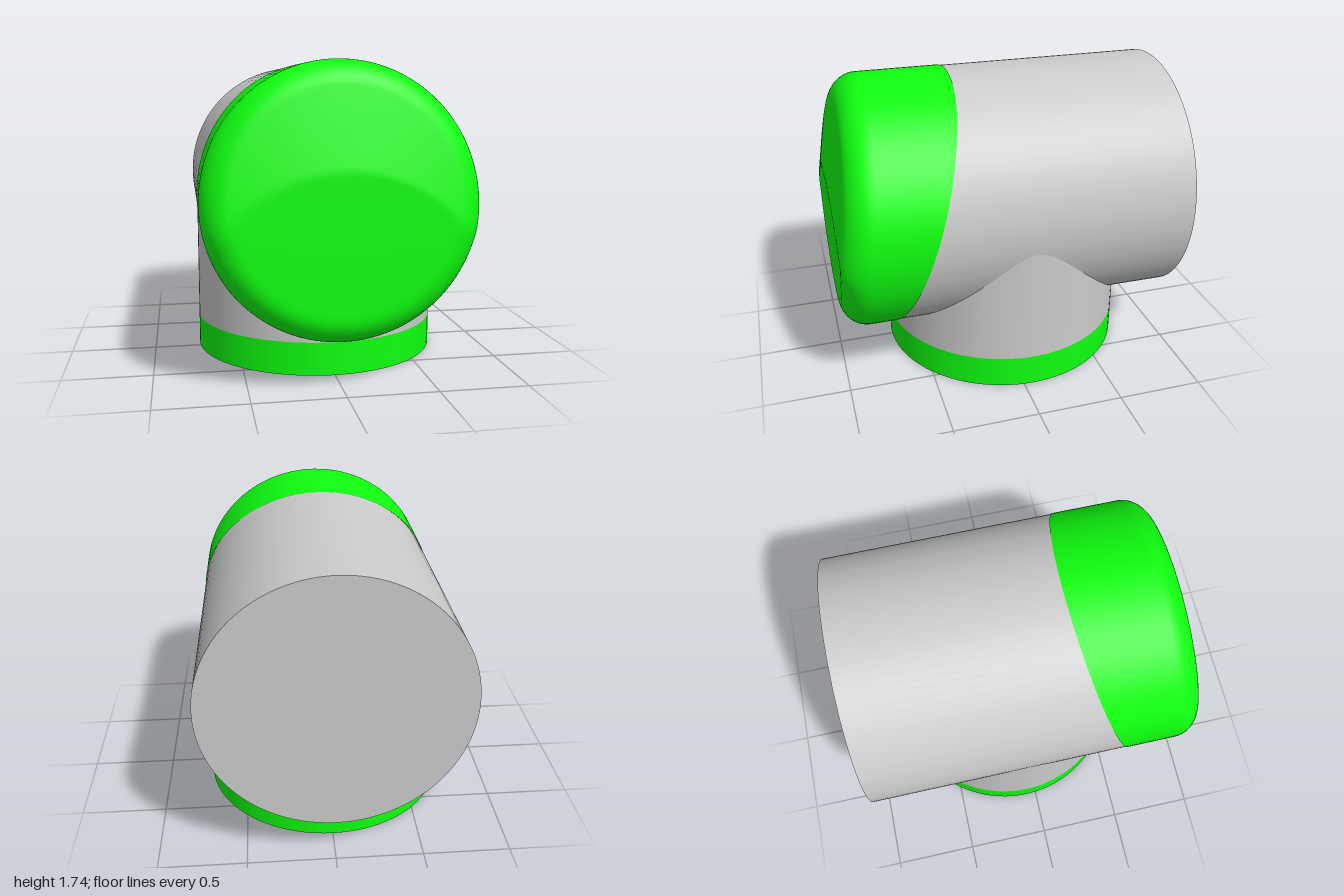
import * as THREE from 'three';
import { mergeVertices } from 'three/addons/utils/BufferGeometryUtils.js';

const AXIS_Y = 0.997, BODY_R = 0.738, CAP_R = 0.742;
const STEM_R = 0.728, STEM_Z = -0.0625, BASE_H = 0.19;
const SEG = 96;

// slanted joint between cap and body
const jointZ = (y) => 0.265 + (1.737 - y) * 0.314;

// flat nose that falls away as a shallow cone towards the top
const noseZ = (x, y) => 1 - 0.2 * Math.max(0, Math.hypot(x, y - 0.37) - 0.8);

// move every vertex by a rule, then smooth across the seam
function shape(geo, rule) {
  const p = geo.attributes.position, v = new THREE.Vector3();
  for (let i = 0; i < p.count; i++) {
    v.fromBufferAttribute(p, i);
    rule(v);
    p.setXYZ(i, v.x, v.y, v.z);
  }
  geo.deleteAttribute('uv');
  geo.deleteAttribute('normal');
  const merged = mergeVertices(geo, 1e-5);
  merged.computeVertexNormals();
  return merged;
}

// horizontal tube, front end cut along the slanted joint
function bodyGeometry() {
  const geo = new THREE.CylinderGeometry(BODY_R, BODY_R, 1, SEG, 1, true).rotateX(Math.PI / 2);
  return shape(geo, (v) => {
    v.y += AXIS_Y;
    v.z = v.z > 0 ? jointZ(v.y) + 0.02 : -1;
  });
}

// rounded cap: rings run from the nose centre over the fillet to the joint
function capGeometry() {
  const FACE = 24, FILLET = 12, ROWS = FACE + FILLET + 1;
  const geo = new THREE.CylinderGeometry(1, 1, 1, SEG, ROWS, true).rotateX(Math.PI / 2);
  return shape(geo, (v) => {
    const row = Math.round((0.5 - v.z) * ROWS);
    const len = Math.hypot(v.x, v.y), dx = v.x / len, dy = v.y / len;
    const at = (r) => noseZ(dx * r, AXIS_Y + dy * r);
    const slope = (at(CAP_R - 0.1) - at(CAP_R)) / 0.1;
    const round = 0.16 * (1 - 0.9 * slope);
    const a = Math.max(0, Math.min(1, (row - FACE) / FILLET)) * Math.PI / 2;
    const r = row <= FACE
      ? (CAP_R - round) * row / FACE
      : CAP_R - round * (1 - Math.sin(a));
    v.set(dx * r, AXIS_Y + dy * r, 0);
    v.z = row === ROWS ? jointZ(v.y) : at(r) - round * (1 - Math.cos(a));
  });
}

// upright tube, top end cut to fit the underside of the body
function stemGeometry() {
  const geo = new THREE.CylinderGeometry(STEM_R, STEM_R, 1, SEG, 1, true);
  return shape(geo, (v) => {
    v.y = v.y > 0 ? AXIS_Y - Math.sqrt(BODY_R ** 2 - v.x ** 2) : BASE_H;
    v.z += STEM_Z;
  });
}

export function createModel() {
  const group = new THREE.Group();
  const grey = new THREE.MeshStandardMaterial({ color: 0xcccccc, side: THREE.DoubleSide });
  const green = new THREE.MeshStandardMaterial({ color: 0x0fff0f, side: THREE.DoubleSide });
  const add = (name, geo, mat) => {
    const mesh = new THREE.Mesh(geo, mat);
    mesh.name = name;
    group.add(mesh);
    return mesh;
  };

  add('body', bodyGeometry(), grey);
  add('frontCap', capGeometry(), green);

  // flat back end
  const back = add('backPlate', new THREE.CircleGeometry(BODY_R, SEG), grey);
  back.rotation.y = Math.PI;
  back.position.set(0, AXIS_Y, -1);

  add('stem', stemGeometry(), grey);
  const base = add('baseRing', new THREE.CylinderGeometry(STEM_R, STEM_R, BASE_H, SEG, 1, true), green);
  base.position.set(0, BASE_H / 2, STEM_Z);

  // flat underside
  const under = add('basePlate', new THREE.CircleGeometry(STEM_R, SEG), grey);
  under.rotation.x = Math.PI / 2;
  under.position.set(0, 0, STEM_Z);

  return group;
}
